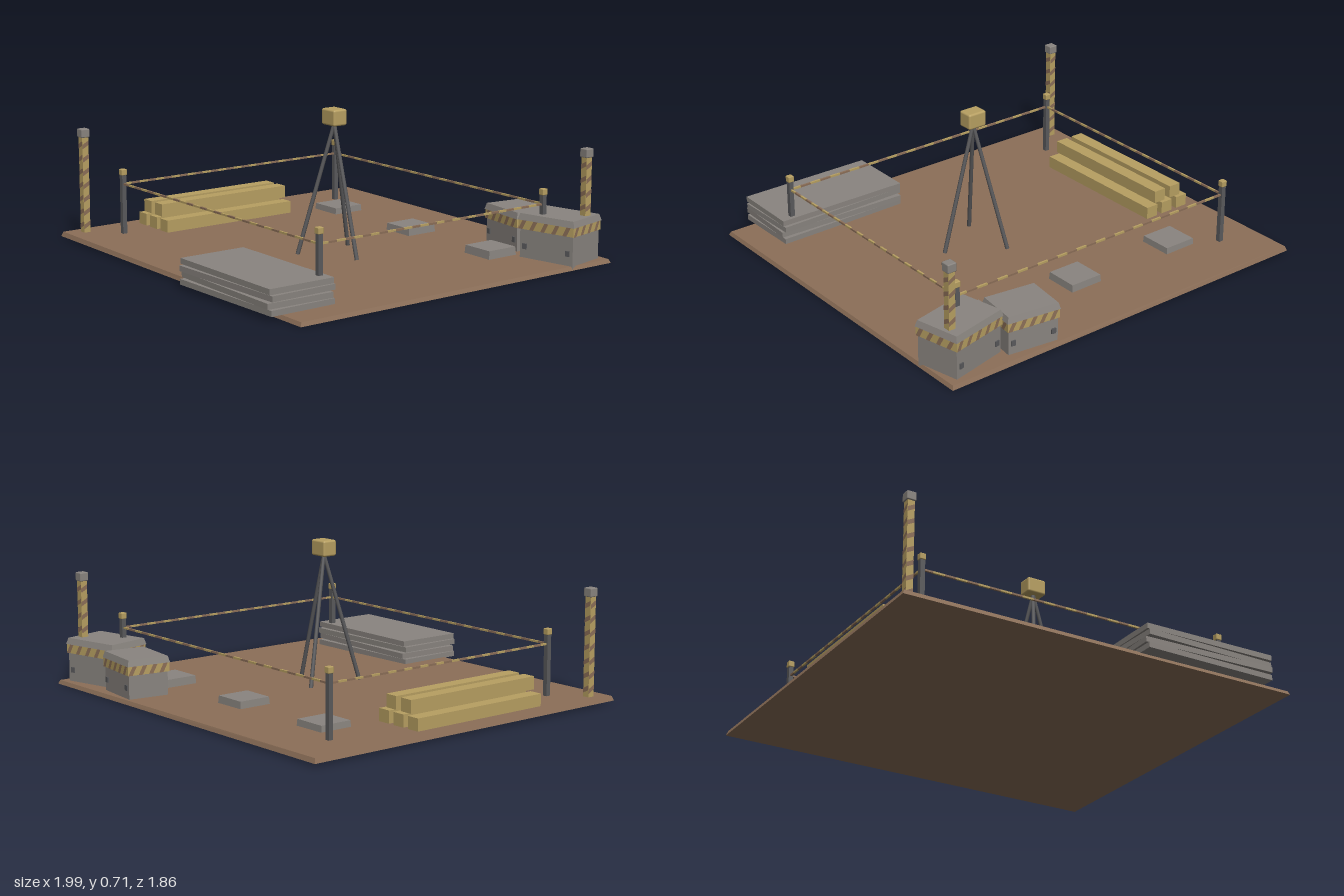
import * as THREE from 'three';
import { RoundedBoxGeometry } from 'three/addons/geometries/RoundedBoxGeometry.js';

const mat = (name, color, side = THREE.FrontSide) => {
  const m = new THREE.MeshStandardMaterial({ color, side });
  m.name = name;
  return m;
};

export function createModel() {
  const brown = mat('earth brown', 0x8c6f58);
  const grey = mat('concrete grey', 0x8a8580);
  const gold = mat('timber yellow', 0xb8a062);
  const dark = mat('dark steel', 0x5a5a5c);
  const model = new THREE.Group();
  model.name = 'constructionSite';

  const add = (parent, name, geo, material, x = 0, y = 0, z = 0, ry = 0) => {
    const m = new THREE.Mesh(geo, material);
    m.name = name;
    m.position.set(x, y, z);
    m.rotation.y = ry;
    parent.add(m);
    return m;
  };
  const box = (parent, name, material, w, h, d, x, y, z, ry = 0) =>
    add(parent, name, new THREE.BoxGeometry(w, h, d), material, x, y, z, ry);
  const group = (name, x = 0, y = 0, z = 0, ry = 0) => {
    const g = new THREE.Group();
    g.name = name;
    g.position.set(x, y, z);
    g.rotation.y = ry;
    model.add(g);
    return g;
  };
  // Flat four-cornered plate for painted stripes
  const plate = pts => new THREE.ShapeGeometry(new THREE.Shape(pts.map(p => new THREE.Vector2(...p))));
  // Box with a narrower top
  const taperedBox = (w, h, d, inset) => {
    const geo = new THREE.BoxGeometry(w, h, d), p = geo.attributes.position;
    for (let i = 0; i < p.count; i++) if (p.getY(i) > 0) {
      p.setX(i, p.getX(i) - Math.sign(p.getX(i)) * inset);
      p.setZ(i, p.getZ(i) - Math.sign(p.getZ(i)) * inset);
    }
    const flat = geo.toNonIndexed();
    flat.computeVertexNormals();
    return flat;
  };

  // Slightly uneven ground slab
  const ground = new THREE.BoxGeometry(1.98, 0.02, 1.785);
  const gp = ground.attributes.position;
  for (let i = 0; i < gp.count; i++) {
    const left = gp.getX(i) < 0, top = gp.getY(i) > 0, front = gp.getZ(i) > 0;
    const inset = top ? 0.008 : 0;
    gp.setXYZ(i,
      left ? -0.993 + inset : 0.99 - inset,
      top ? (left ? 0.033 : 0.018) : (left ? 0.011 : 0),
      front ? (left ? 0.842 : 0.86) - inset : -0.935 + inset);
  }
  const groundFlat = ground.toNonIndexed();
  groundFlat.computeVertexNormals();
  add(model, 'ground', groundFlat, brown);

  // Paving slabs
  for (const x of [-0.58, 0, 0.58])
    add(model, 'pavingSlab', taperedBox(0.172, 0.04, 0.168, 0.003), grey, x, 0.04, -0.553);

  // Rope fence: posts, caps and two-colour rope
  const fx = 0.785, zBack = -0.69, zFront = 0.61, ropeY = 0.277;
  for (const x of [-fx, fx]) for (const z of [zBack, zFront]) {
    box(model, 'fencePost', dark, 0.023, 0.31, 0.023, x, 0.165, z);
    add(model, 'fencePostCap', new RoundedBoxGeometry(0.03, 0.03, 0.03, 1, 0.004), gold, x, 0.335, z);
  }
  const rope = (x1, z1, x2, z2) => {
    const n = 28, alongX = z1 === z2, len = (alongX ? x2 - x1 : z2 - z1) / n;
    for (let i = 0; i < n; i++) {
      const t = (i + 0.5) / n;
      box(model, 'ropeSegment', i % 2 ? gold : brown, alongX ? len : 0.009, 0.009, alongX ? 0.009 : len,
        x1 + (x2 - x1) * t, ropeY, z1 + (z2 - z1) * t);
    }
  };
  rope(-fx, zBack, fx, zBack);
  rope(-fx, zFront, fx, zFront);
  rope(-fx, zBack, -fx, zFront);
  rope(fx, zBack, fx, zFront);

  // Tall striped marker poles
  for (const [x, z] of [[-0.922, 0.745], [0.922, -0.828]]) {
    const pole = group('markerPole', x, 0, z);
    const w = 0.034, h = w / 2;
    box(pole, 'poleShaft', gold, w, 0.49, w, 0, 0.26, 0);
    add(pole, 'poleCap', new RoundedBoxGeometry(0.046, 0.042, 0.046, 1, 0.005), grey, 0, 0.523, 0);
    for (let side = 0; side < 4; side++) {
      const face = new THREE.Group();
      face.name = 'poleStripes';
      face.rotation.y = side * Math.PI / 2;
      pole.add(face);
      for (let y = 0.05; y < 0.46; y += 0.066)
        add(face, 'poleStripe', plate([[-h, y], [h, y + 0.018], [h, y + 0.04], [-h, y + 0.022]]), brown, 0, 0, h + 0.001);
    }
  }

  // Timber beams, three below and two on top
  const beam = (x, y) => box(model, 'timberBeam', gold, 0.065, 0.061, 0.745, x, y, 0.063);
  [-0.888, -0.793, -0.698].forEach(x => beam(x, 0.06));
  [-0.842, -0.745].forEach(x => beam(x, 0.133));

  // Stack of slightly twisted boards
  [0.012, -0.03, 0.022, -0.008].forEach((turn, i) =>
    box(model, 'board', grey, 0.675, 0.026, 0.335, 0.512, 0.034 + i * 0.031, 0.745, turn));

  // Survey tripod
  const top = new THREE.Vector3(0.138, 0.64, 0.03);
  for (let i = 0; i < 3; i++) {
    const a = i * Math.PI * 2 / 3;
    const foot = new THREE.Vector3(0.138 + 0.172 * Math.cos(a), 0.025, 0.03 + 0.172 * Math.sin(a));
    const dir = top.clone().sub(foot);
    const leg = add(model, 'tripodLeg', new THREE.CylinderGeometry(0.009, 0.01, dir.length(), 8), dark);
    leg.position.copy(foot).add(top).multiplyScalar(0.5);
    leg.quaternion.setFromUnitVectors(new THREE.Vector3(0, 1, 0), dir.normalize());
  }
  add(model, 'surveyHead', new RoundedBoxGeometry(0.098, 0.077, 0.077, 2, 0.01), gold, 0.138, 0.673, 0.03);

  // Tool crates with a hazard-striped band and chamfered lid
  const crate = (x, z, ry, w, d, height) => {
    const g = group('toolCrate', x, 0, z, ry);
    const bandTop = height - 0.028, bandH = 0.044, bandBottom = bandTop - bandH;
    box(g, 'crateBody', grey, w - 0.012, bandBottom, d - 0.012, 0, bandBottom / 2 + 0.005, 0);
    box(g, 'crateBand', gold, w, bandH, d, 0, bandBottom + bandH / 2, 0);
    add(g, 'crateLid', taperedBox(w + 0.006, 0.03, d + 0.006, 0.008), grey, 0, height - 0.014, 0);
    for (let side = 0; side < 4; side++) {
      const len = side % 2 ? d : w, out = (side % 2 ? w : d) / 2;
      const face = new THREE.Group();
      face.name = 'crateSide';
      face.rotation.y = side * Math.PI / 2;
      g.add(face);
      const n = Math.round(len / 0.058), step = len / n;
      for (let i = 0; i < n; i++) {
        const s = -len / 2 + i * step;
        add(face, 'hazardStripe', plate([[s, bandBottom], [s + 0.022, bandBottom],
          [s + 0.045, bandTop], [s + 0.023, bandTop]]), brown, 0, 0, out + 0.0015);
      }
      // Small latches on the long sides
      if (side % 2 === 0) for (const sx of [-1, 1])
        box(face, 'crateLatch', dark, 0.022, 0.026, 0.008, sx * len * 0.39, 0.075, out - 0.004);
    }
  };
  crate(0.823, -0.762, 0.22, 0.302, 0.228, 0.228);
  crate(0.513, -0.797, -0.13, 0.262, 0.212, 0.207);

  return model;
}
